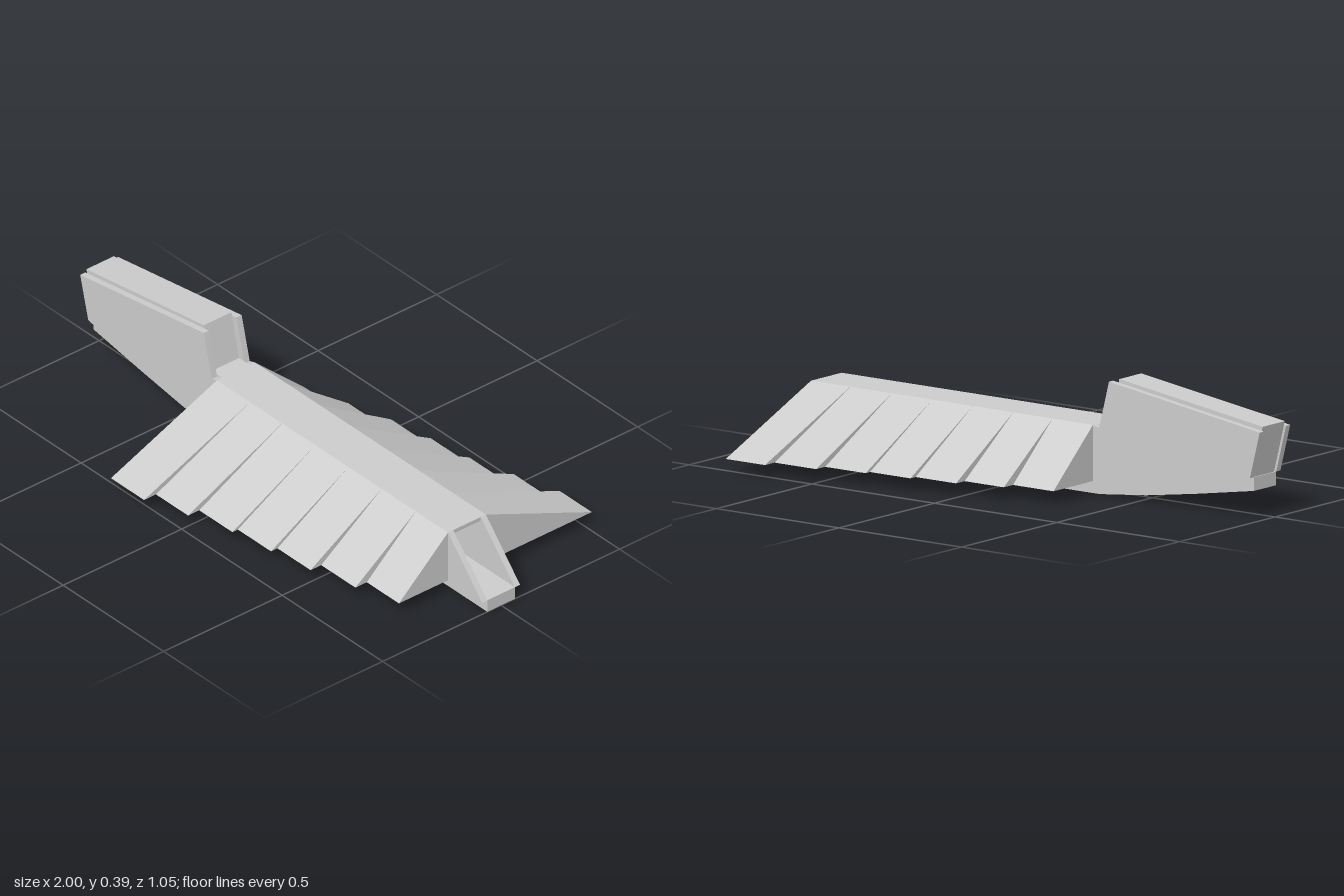
import * as THREE from 'three';

const material = new THREE.MeshStandardMaterial({ color: 0xcccccc, flatShading: true });
const innerMaterial = new THREE.MeshStandardMaterial({ color: 0xcccccc, flatShading: true, side: THREE.DoubleSide });

// Extrude a profile [[x, y], ...] from z0 to z1
function slab(points, z0, z1) {
  const shape = new THREE.Shape(points.map(([x, y]) => new THREE.Vector2(x, y)));
  const geometry = new THREE.ExtrudeGeometry(shape, { depth: z1 - z0, bevelEnabled: false });
  return geometry.translate(0, 0, z0);
}

// Rectangular tunnel through sections [x, halfWidth, floor], closed at its far end
function tunnel(sections, ceiling) {
  const positions = [];
  const index = [];
  sections.forEach(([x, w, floor], i) => {
    positions.push(x, floor, w, x, floor, -w, x, ceiling, -w, x, ceiling, w);
    if (i === 0) return;
    for (let k = 0; k < 4; k++) {
      const a = (i - 1) * 4 + k, b = (i - 1) * 4 + (k + 1) % 4;
      index.push(a, b, b + 4, a, b + 4, a + 4);
    }
  });
  const e = (sections.length - 1) * 4;
  index.push(e, e + 1, e + 2, e, e + 2, e + 3);
  const geometry = new THREE.BufferGeometry();
  geometry.setAttribute('position', new THREE.Float32BufferAttribute(positions, 3));
  geometry.setIndex(index);
  geometry.computeVertexNormals();
  return geometry;
}

export function createModel() {
  const model = new THREE.Group();
  const add = (name, geometry, mat = material, parent = model) => {
    const mesh = new THREE.Mesh(geometry, mat);
    mesh.name = name;
    parent.add(mesh);
    return mesh;
  };

  const inner = 0.058, outer = 0.08;
  // Line where the hull sides meet the keel, rising toward the nose
  const seam = [[-0.96, 0.135], [-0.72, 0.088], [-0.52, 0.062], [-0.33, 0.045], [1, 0.045]];

  // Keel strip under the hull
  add('keel', slab([
    [-0.96, 0.09], [-0.72, 0.05], [-0.52, 0.02], [-0.33, 0], [1, 0], ...[...seam].reverse(),
  ], -inner, inner));

  // Side plates with the raised nose and the sloped tail
  const plate = [...seam, [0.83, 0.23], [-0.32, 0.23], [-0.345, 0.222], [-0.385, 0.38], [-1, 0.29]];
  add('leftSidePlate', slab(plate, inner, outer));
  add('rightSidePlate', slab(plate, -outer, -inner));

  // Narrow core of the raised nose, set between the plates
  add('noseCore', slab([
    [-0.995, 0.305], [-0.41, 0.388], [-0.37, 0.215], [-0.925, 0.215], [-0.925, 0.125], [-0.95, 0.13],
  ], -inner, inner));

  // Roof of the body
  add('roof', slab([[-0.372, 0.215], [0.83, 0.215], [0.83, 0.23], [-0.372, 0.23]], -inner, inner));

  // Inner passage, open at the tail and narrowing toward the nose
  add('innerPassage', tunnel([
    [0.83, 0.056, 0.047], [-0.33, 0.055, 0.047], [-0.52, 0.045, 0.064],
    [-0.72, 0.034, 0.09], [-0.92, 0.025, 0.132],
  ], 0.214), innerMaterial);

  // Stepped wings: the two sides step in opposite directions
  const stations = [-0.32, -0.155, 0.005, 0.17, 0.335, 0.5, 0.67, 0.83];
  const reach = [0.527, 0.477, 0.43, 0.407, 0.38, 0.335, 0.287];
  for (const side of [1, -1]) {
    const wing = new THREE.Group();
    wing.name = side > 0 ? 'frontWing' : 'backWing';
    const spans = side > 0 ? reach : [...reach].reverse();
    spans.forEach((span, i) => {
      const wedge = slab([
        [-side * outer, 0.045], [-side * span, 0.045], [-side * outer, 0.23],
      ], stations[i], stations[i + 1]).rotateY(Math.PI / 2);
      add('wingPanel' + (i + 1), wedge, material, wing);
    });
    model.add(wing);
  }

  return model;
}
